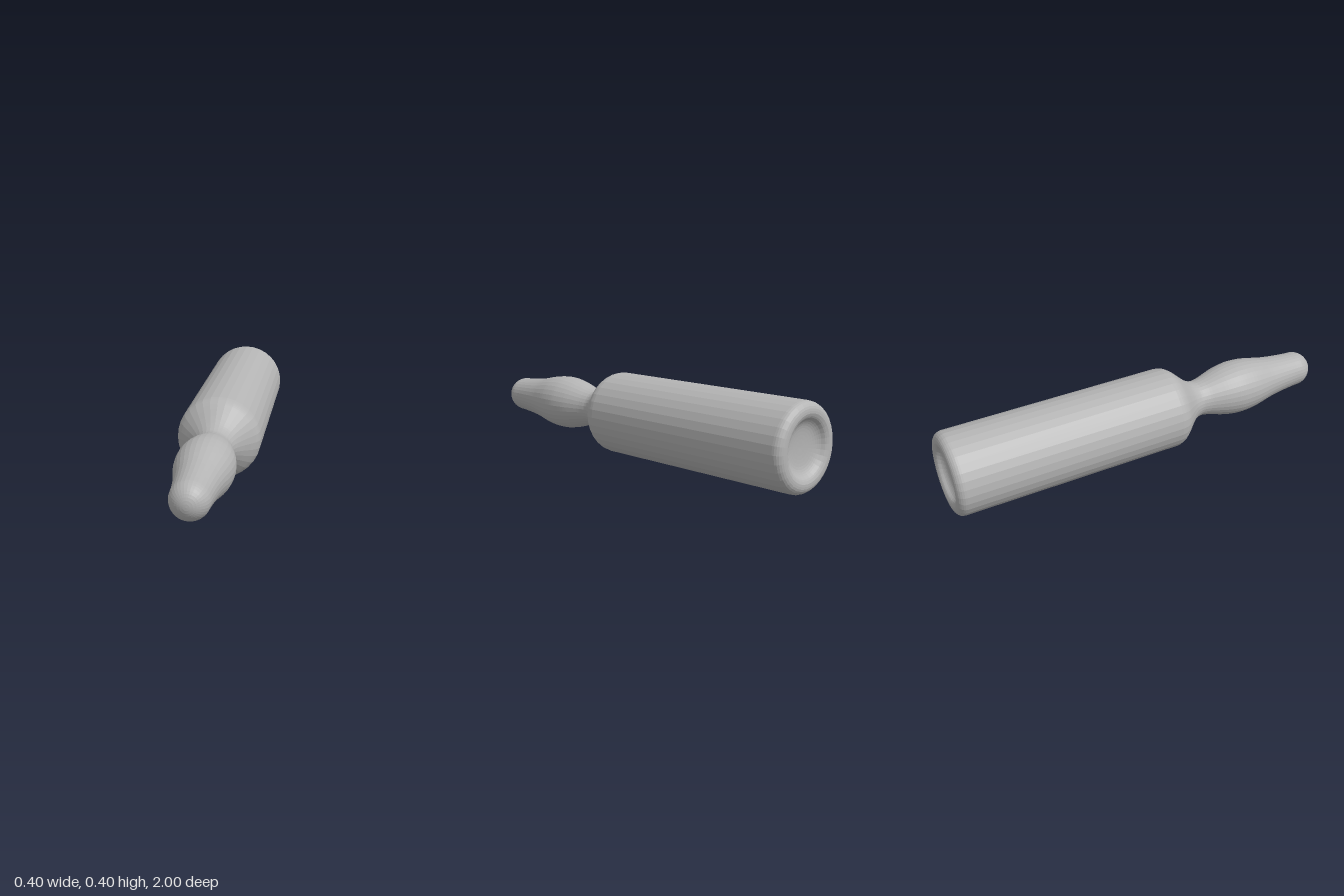
import * as THREE from 'three';

const SIDES = 32;
const RADIUS = 0.2005;

// Profile arc: centre (r, z), radius, from angle a to b in degrees
function arc(r, z, radius, a, b, steps) {
  const pts = [];
  for (let i = 0; i <= steps; i++) {
    const t = THREE.MathUtils.degToRad(a + (b - a) * i / steps);
    pts.push(new THREE.Vector2(Math.max(0, r + radius * Math.cos(t)), z + radius * Math.sin(t)));
  }
  return pts;
}

// Smooth profile through [radius, z] pairs
function spline(pairs, steps) {
  return new THREE.SplineCurve(pairs.map(([r, z]) => new THREE.Vector2(r, z))).getPoints(steps);
}

// Revolve a profile (listed back to front) around the z axis
function turned(name, profile, material) {
  const geometry = new THREE.LatheGeometry(profile, SIDES);
  geometry.rotateX(Math.PI / 2);
  const mesh = new THREE.Mesh(geometry, material);
  mesh.name = name;
  mesh.position.y = RADIUS;
  return mesh;
}

export function createModel() {
  const group = new THREE.Group();
  group.name = 'turnedHandle';
  const grey = new THREE.MeshStandardMaterial({ color: 0xb4b4b4, flatShading: true });
  grey.name = 'plain grey';

  // Shallow dish in the back end
  const dish = spline([[0, -0.955], [0.05, -0.957], [0.09, -0.963], [0.115, -0.975],
    [0.132, -0.992], [0.15, -1]], 14);
  group.add(turned('backDish', dish, grey));

  // Straight body with a rounded rim and a curved front shoulder
  const body = [
    new THREE.Vector2(0.15, -1),
    ...arc(RADIUS - 0.04, -0.96, 0.04, -90, 0, 6),
    ...spline([[RADIUS, 0.13], [0.196, 0.155], [0.184, 0.178], [0.165, 0.2], [0.13, 0.237],
      [0.104, 0.27], [0.092, 0.3], [0.09, 0.32]], 20),
  ];
  group.add(turned('body', body, grey));

  // Slim waisted neck swelling into a bulb, then a rounded tip
  const neck = [
    ...spline([[0.09, 0.32], [0.096, 0.355], [0.109, 0.4], [0.124, 0.455], [0.133, 0.51],
      [0.135, 0.55], [0.131, 0.61], [0.12, 0.67], [0.107, 0.73], [0.097, 0.8], [0.09, 0.87],
      [0.0875, 0.9125]], 34),
    ...arc(0, 0.9125, 0.0875, 0, 90, 10).slice(1),
  ];
  group.add(turned('neckAndTip', neck, grey));

  return group;
}
